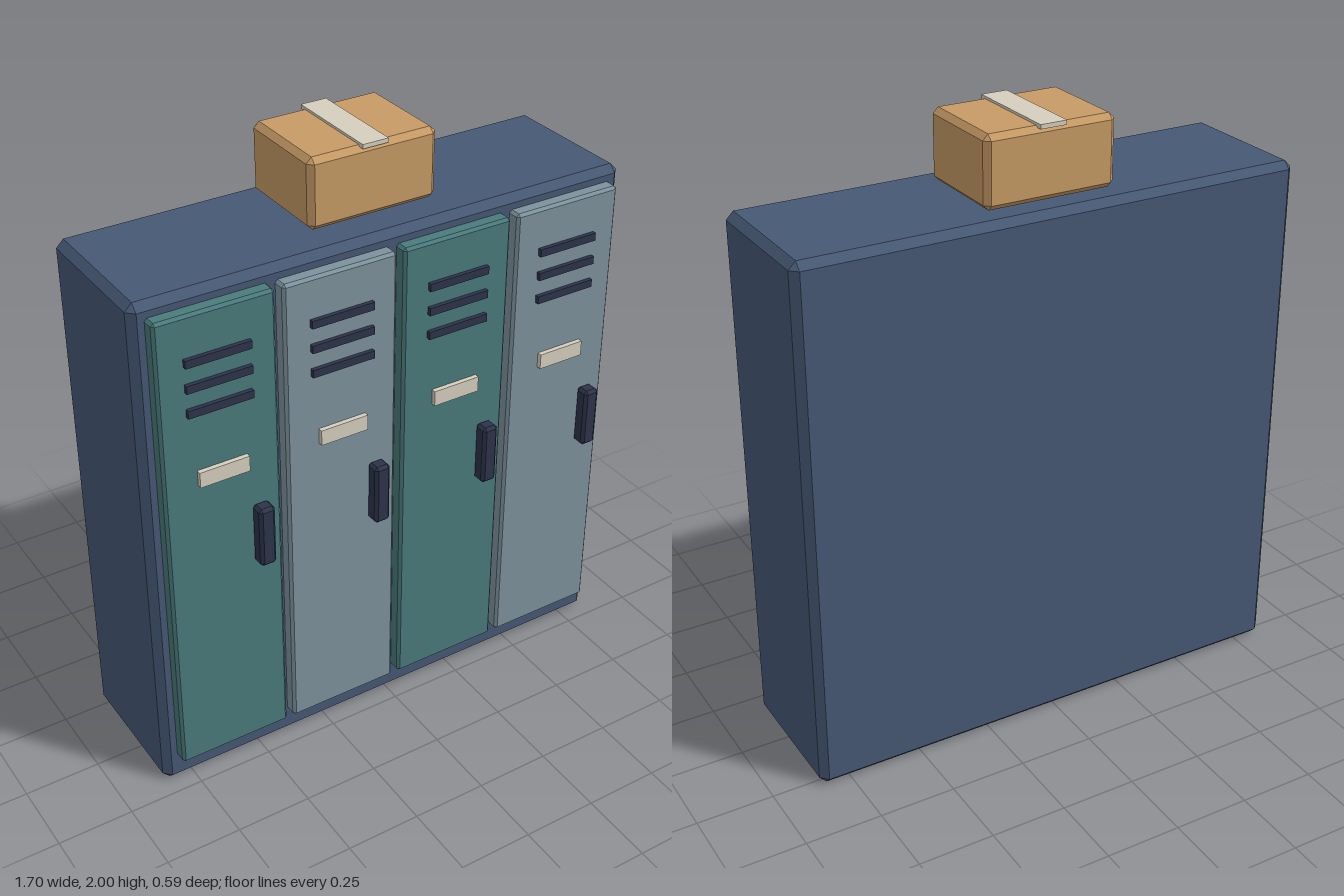
import * as THREE from 'three';
import { ConvexGeometry } from 'three/addons/geometries/ConvexGeometry.js';

const material = (name, color) => {
  const m = new THREE.MeshStandardMaterial({ color });
  m.name = name;
  return m;
};

// Box with every edge cut by a flat chamfer c
function chamferBox(w, h, d, c) {
  const points = [];
  for (const x of [-1, 1]) for (const y of [-1, 1]) for (const z of [-1, 1]) {
    const X = w / 2, Y = h / 2, Z = d / 2;
    points.push(
      new THREE.Vector3(x * X, y * (Y - c), z * (Z - c)),
      new THREE.Vector3(x * (X - c), y * Y, z * (Z - c)),
      new THREE.Vector3(x * (X - c), y * (Y - c), z * Z)
    );
  }
  return new ConvexGeometry(points);
}

export function createModel() {
  const navy = material('cabinet navy', 0x465874);
  const teal = material('door teal', 0x4a7a7c);
  const grey = material('door grey', 0x7d929d);
  const dark = material('dark metal', 0x2d344a);
  const cream = material('cream paper', 0xd6cfbe);
  const cardboard = material('cardboard', 0xc69a65);

  const model = new THREE.Group();
  model.name = 'lockers';

  // Adds a part spanning the given x, y and z ranges
  const add = (parent, name, mat, [x0, x1], [y0, y1], [z0, z1], chamfer = 0) => {
    const w = x1 - x0, h = y1 - y0, d = z1 - z0;
    const geo = chamfer ? chamferBox(w, h, d, chamfer) : new THREE.BoxGeometry(w, h, d);
    const mesh = new THREE.Mesh(geo, mat);
    mesh.name = name;
    mesh.position.set((x0 + x1) / 2, (y0 + y1) / 2, (z0 + z1) / 2);
    parent.add(mesh);
  };

  // Cabinet body
  add(model, 'cabinet', navy, [-0.85, 0.85], [0, 1.755], [-0.292, 0.198], 0.024);

  // Four lockers in alternating colours
  for (let i = 0; i < 4; i++) {
    const locker = new THREE.Group();
    locker.name = 'locker' + (i + 1);
    locker.position.x = (i - 1.5) * 0.4085;
    add(locker, 'door', i % 2 ? grey : teal, [-0.192, 0.192], [0.1, 1.71], [0.19, 0.243], 0.009);
    for (const y of [1.4, 1.482, 1.564]) {
      add(locker, 'vent', dark, [-0.106, 0.106], [y - 0.013, y + 0.013], [0.24, 0.257]);
    }
    add(locker, 'nameCard', cream, [-0.082, 0.082], [1.144, 1.196], [0.24, 0.259]);
    add(locker, 'handle', dark, [0.09, 0.145], [0.802, 1.012], [0.242, 0.294], 0.01);
    model.add(locker);
  }

  // Taped cardboard box on top
  const parcel = new THREE.Group();
  parcel.name = 'parcel';
  add(parcel, 'carton', cardboard, [-0.22, 0.22], [1.764, 1.992], [-0.234, 0.1], 0.018);
  add(parcel, 'tape', cream, [-0.044, 0.044], [1.986, 2], [-0.24, 0.104]);
  model.add(parcel);

  return model;
}
